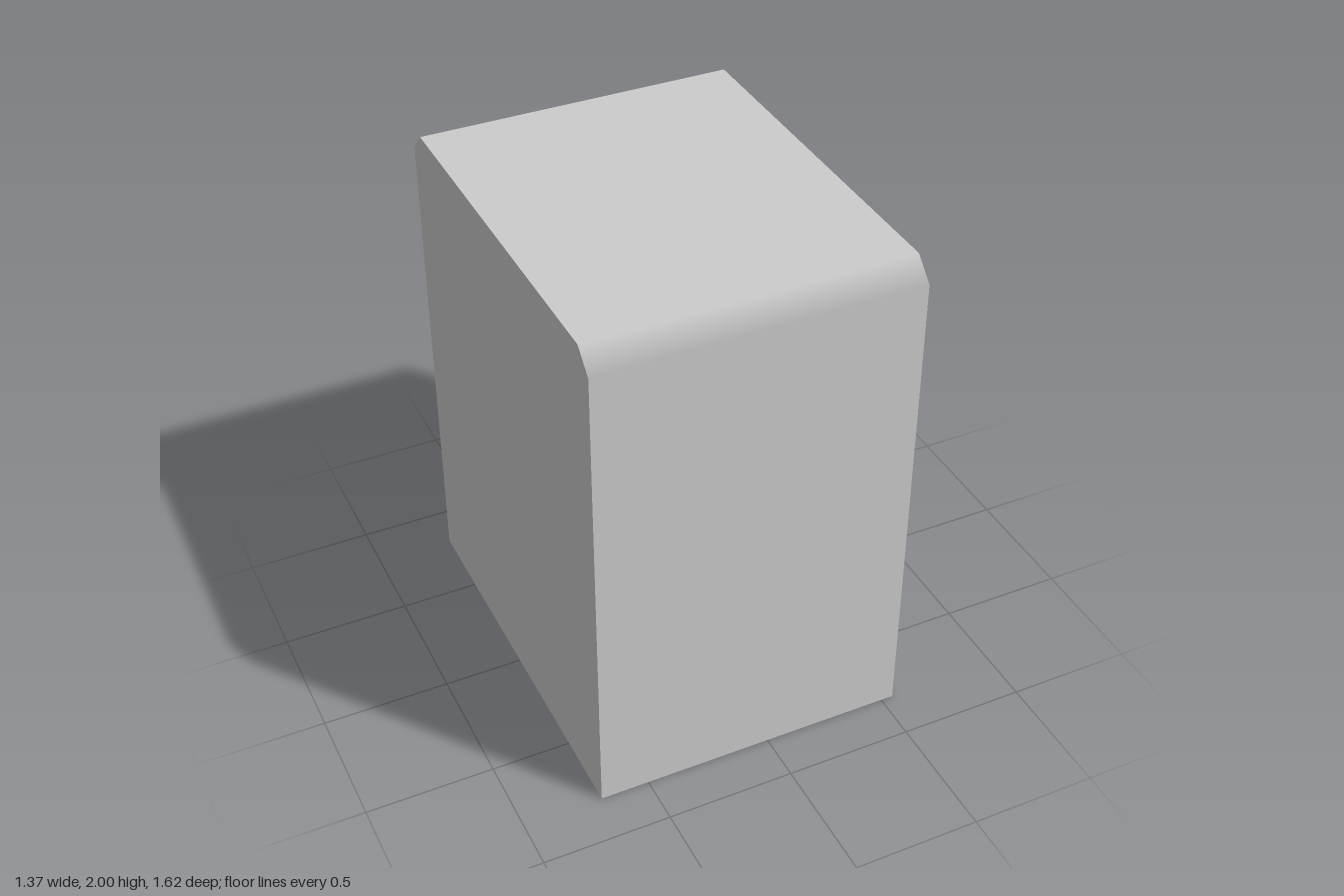
import * as THREE from 'three';

const material = new THREE.MeshStandardMaterial({ color: 0xcccccc });
const BACK = -0.69, FLOOR = 0.51, FACE = 0.55; // x of the back, recess floor and face

function rectPath(w, y0, y1) {
  return new THREE.Path([[-w, y0], [-w, y1], [w, y1], [w, y0]].map(([u, v]) => new THREE.Vector2(u, v)));
}

// Box outline with chamfered top edges
function outline() {
  return new THREE.Shape([[-0.81, 0], [0.81, 0], [0.81, 1.92], [0.73, 2], [-0.73, 2], [-0.81, 1.92]]
    .map(([u, v]) => new THREE.Vector2(u, v)));
}

// Extrude the outline along x, blending the chamfers softly into sides and top
function slab(shape, x0, x1) {
  const geo = new THREE.ExtrudeGeometry(shape, { depth: x1 - x0, bevelEnabled: false });
  geo.rotateY(Math.PI / 2).translate(x0, 0, 0);
  const p = geo.attributes.position, n = geo.attributes.normal;
  for (let i = 0; i < p.count; i++) {
    if (n.getY(i) > 0.3 && Math.abs(n.getZ(i)) > 0.3) {
      if (p.getY(i) > 1.96) n.setXYZ(i, 0, 1, 0);
      else n.setXYZ(i, 0, 0, Math.sign(p.getZ(i)));
    }
  }
  return geo;
}

export function createModel() {
  const group = new THREE.Group();
  const add = (name, geo) => {
    const mesh = new THREE.Mesh(geo, material);
    mesh.name = name;
    group.add(mesh);
    return mesh;
  };

  // Solid cabinet, whose end is the floor of both recesses
  add('cabinet', slab(outline(), BACK, FLOOR));

  // Front frame with the large panel opening and the control opening
  const frame = outline();
  frame.holes.push(rectPath(0.677, 0.11, 1.435), rectPath(0.533, 1.575, 1.845));
  add('faceFrame', slab(frame, FLOOR, FACE));

  // Raised display bar between the knobs
  add('displayBar', new THREE.BoxGeometry(0.06, 0.165, 0.59)).position.set(0.54, 1.708, 0);

  // Eight-sided knobs with a slim bevel and a flat cap
  const side = new THREE.LatheGeometry(
    [[0.104, 0], [0.104, 0.16], [0.096, 0.17]].map(([r, h]) => new THREE.Vector2(r, h)), 8);
  const cap = new THREE.CircleGeometry(0.096, 8).rotateX(-Math.PI / 2).translate(0, 0.17, 0);
  for (const s of [1, -1]) {
    const knob = new THREE.Group();
    knob.name = s > 0 ? 'leftKnob' : 'rightKnob';
    for (const [name, geo] of [['knobSide', side], ['knobCap', cap]]) {
      const mesh = new THREE.Mesh(geo, material);
      mesh.name = name;
      knob.add(mesh);
    }
    knob.rotation.z = -Math.PI / 2;
    knob.position.set(FLOOR, 1.705, 0.41 * s);
    group.add(knob);
  }
  return group;
}
